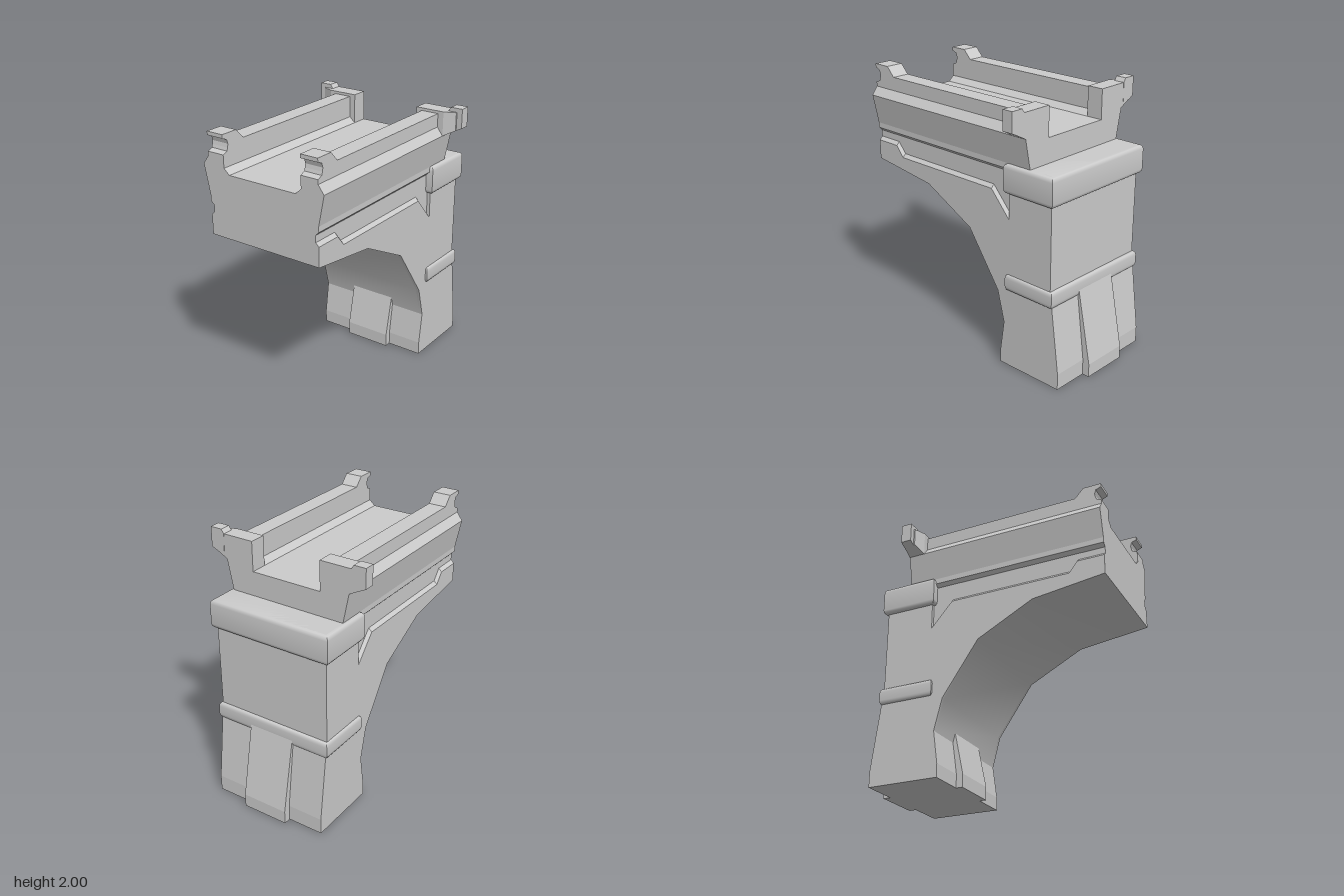
import * as THREE from 'three';
import { toCreasedNormals } from 'three/addons/utils/BufferGeometryUtils.js';

const material = new THREE.MeshStandardMaterial({ color: 0xcccccc });

function extrude(points, depth) {
  const shape = new THREE.Shape(points.map(([a, b]) => new THREE.Vector2(a, b)));
  return new THREE.ExtrudeGeometry(shape, { depth, bevelEnabled: false });
}

// Side profile of [z, y] points, swept across x
function acrossX(points, x0, x1) {
  return extrude(points, x1 - x0).rotateY(-Math.PI / 2).translate(x1, 0, 0);
}

// Front profile of [x, y] points, swept along z
function alongZ(points, z0, z1) {
  return extrude(points, z1 - z0).translate(0, 0, z0);
}

// Mirrored copy in x, with the winding reversed
function mirrored(geometry) {
  const g = geometry.clone().scale(-1, 1, 1);
  const index = [];
  for (let i = 0; i < g.attributes.position.count; i += 3) index.push(i, i + 2, i + 1);
  g.setIndex(index);
  return g.toNonIndexed();
}

export function createModel() {
  const model = new THREE.Group();

  function add(name, geometry, crease = 0.01) {
    const mesh = new THREE.Mesh(toCreasedNormals(geometry, crease), material);
    mesh.name = name;
    model.add(mesh);
  }
  function addPair(name, geometry, crease) {
    add(name + 'Left', geometry, crease);
    add(name + 'Right', mirrored(geometry), crease);
  }

  // Column and arched bracket: a core with a thin raised plate on each side
  const arch = [[0.935, 1.265], [0.39, 1.195], [-0.035, 0.975], [-0.31, 0.575], [-0.37, 0.34]];
  arch.reverse();
  const column = [[-0.42, 1.55], [-0.8, 1.55], [-0.8, 0.34]];
  add('archCore', acrossX([...arch, [0.935, 1.49], [-0.42, 1.49], ...column], -0.43, 0.43), 0.55);

  const recessEdge = [[0.935, 1.41], [0.735, 1.41], [0.67, 1.33], [-0.255, 1.33], [-0.42, 1.145]];
  const plate = acrossX([...arch, ...recessEdge, ...column], 0.43, 0.455);
  // Slope the recess edge by raising its inner corners
  const p = plate.attributes.position;
  for (let i = 0; i < p.count; i++) {
    const onEdge = recessEdge.some(([z, y]) =>
      Math.abs(p.getZ(i) - z) < 1e-4 && Math.abs(p.getY(i) - y) < 1e-4);
    if (onEdge && p.getX(i) < 0.44) p.setY(i, p.getY(i) + 0.025);
  }
  addPair('sidePlate', plate, 0.55);

  // Splayed foot and its central pilaster
  add('foot', acrossX([[-0.37, 0.34], [-0.335, 0.1], [-0.335, 0], [-0.88, 0], [-0.88, 0.12],
    [-0.815, 0.62], [-0.7, 0.62], [-0.7, 0.34]], -0.455, 0.455));
  add('pilaster', acrossX([[-0.355, 0.42], [-0.285, 0.1], [-0.285, 0], [-0.935, 0],
    [-0.935, 0.1], [-0.822, 0.67], [-0.6, 0.67]], -0.18, 0.18));

  // Rounded bands around the column
  function band(name, halfX, zBack, zFront, y0, y1, bevel) {
    const x = halfX - bevel;
    const a = zBack + bevel;
    const b = zFront - bevel;
    const shape = new THREE.Shape([[-x, -b], [x, -b], [x, -a], [-x, -a]]
      .map(([u, v]) => new THREE.Vector2(u, v)));
    const rise = 0.03;
    const g = new THREE.ExtrudeGeometry(shape, {
      depth: y1 - y0 - 2 * rise, bevelThickness: rise, bevelSize: bevel, bevelSegments: 3,
    });
    add(name, g.rotateX(-Math.PI / 2).translate(0, y0 + rise, 0), 0.9);
  }
  band('upperBand', 0.485, -0.83, -0.395, 1.34, 1.55, 0.022);
  band('lowerBand', 0.472, -0.826, -0.395, 0.61, 0.73, 0.015);

  // Trough-shaped beam
  const half = [[0.43, 1.485], [0.455, 1.51], [0.455, 1.55], [0.5, 1.77], [0.455, 1.83],
    [0.32, 1.83], [0.32, 1.77], [0.275, 1.73]];
  const otherHalf = half.map(([x, y]) => [-x, y]).reverse();
  add('beam', alongZ([...half, ...otherHalf], -0.61, 0.935));

  // Rails with a notched horn at the front
  addPair('rail', acrossX([[-0.61, 1.83], [0.935, 1.83], [0.935, 1.862], [0.897, 1.878],
    [0.89, 1.9], [0.885, 1.925], [0.895, 1.957], [0.935, 1.973], [0.935, 2], [0.8, 2],
    [0.735, 1.93], [-0.61, 1.93]], 0.32, 0.455));

  // Brackets at the rear: block, tapering wing and outer lug
  addPair('rearBlock', alongZ([[0.275, 1.73], [0.5, 1.77], [0.5, 1.95], [0.275, 1.95]], -0.61, -0.485));
  const wing = alongZ([[0.5, 1.77], [0.585, 1.815], [0.585, 1.95], [0.5, 1.95]], -0.61, -0.485);
  const w = wing.attributes.position;
  for (let i = 0; i < w.count; i++) {
    if (w.getX(i) > 0.55 && w.getZ(i) > -0.5) w.setZ(i, -0.52);
  }
  addPair('rearWing', wing);
  addPair('rearLug', alongZ([[0.52, 1.81], [0.585, 1.815], [0.627, 1.835], [0.627, 1.98],
    [0.535, 1.98], [0.515, 1.95]], -0.612, -0.53));

  return model;
}
